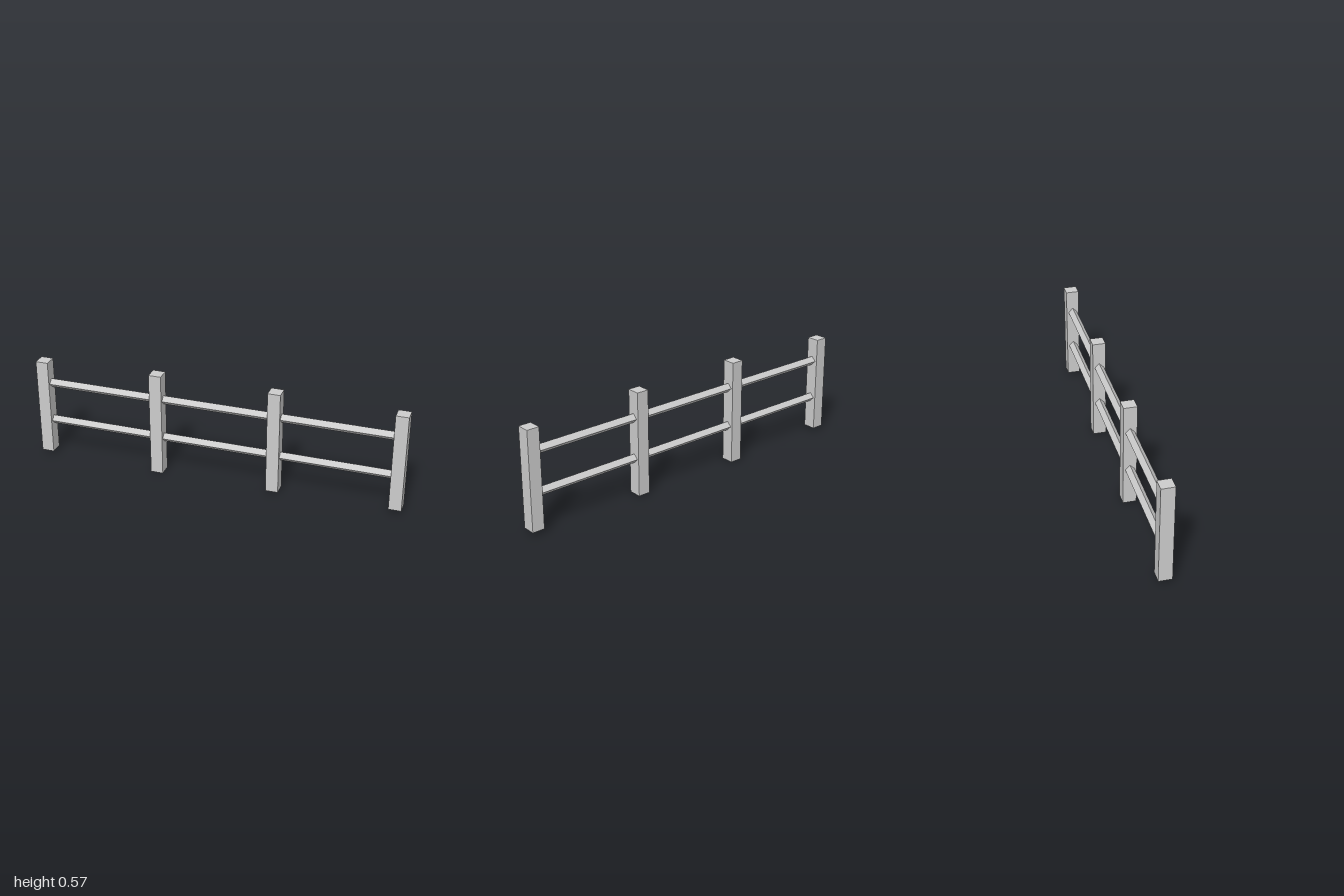
import * as THREE from 'three';

export function createModel() {
  const group = new THREE.Group();
  const grey = new THREE.MeshStandardMaterial({ color: 0xcccccc });
  grey.name = 'lightGrey';

  // Four square posts, the inner pair slightly longer: x, bottom, top
  const postWidth = 0.067, postDepth = 0.07;
  const posts = [
    [-0.9665, 0.02, 0.553],
    [-0.323, 0, 0.571],
    [0.318, 0.004, 0.569],
    [0.9665, 0.02, 0.553],
  ];
  posts.forEach(([x, bottom, top], i) => {
    const post = new THREE.Mesh(new THREE.BoxGeometry(postWidth, top - bottom, postDepth), grey);
    post.position.set(x, (bottom + top) / 2, 0);
    post.name = `post${i + 1}`;
    group.add(post);
  });

  // Two square rails turned on edge, running between the end posts
  const side = 0.0245 * Math.SQRT2;
  for (const [name, y] of [['lowerRail', 0.205], ['upperRail', 0.425]]) {
    const rail = new THREE.Mesh(new THREE.BoxGeometry(1.9, side, side), grey);
    rail.rotation.x = Math.PI / 4;
    rail.position.y = y;
    rail.name = name;
    group.add(rail);
  }

  return group;
}
